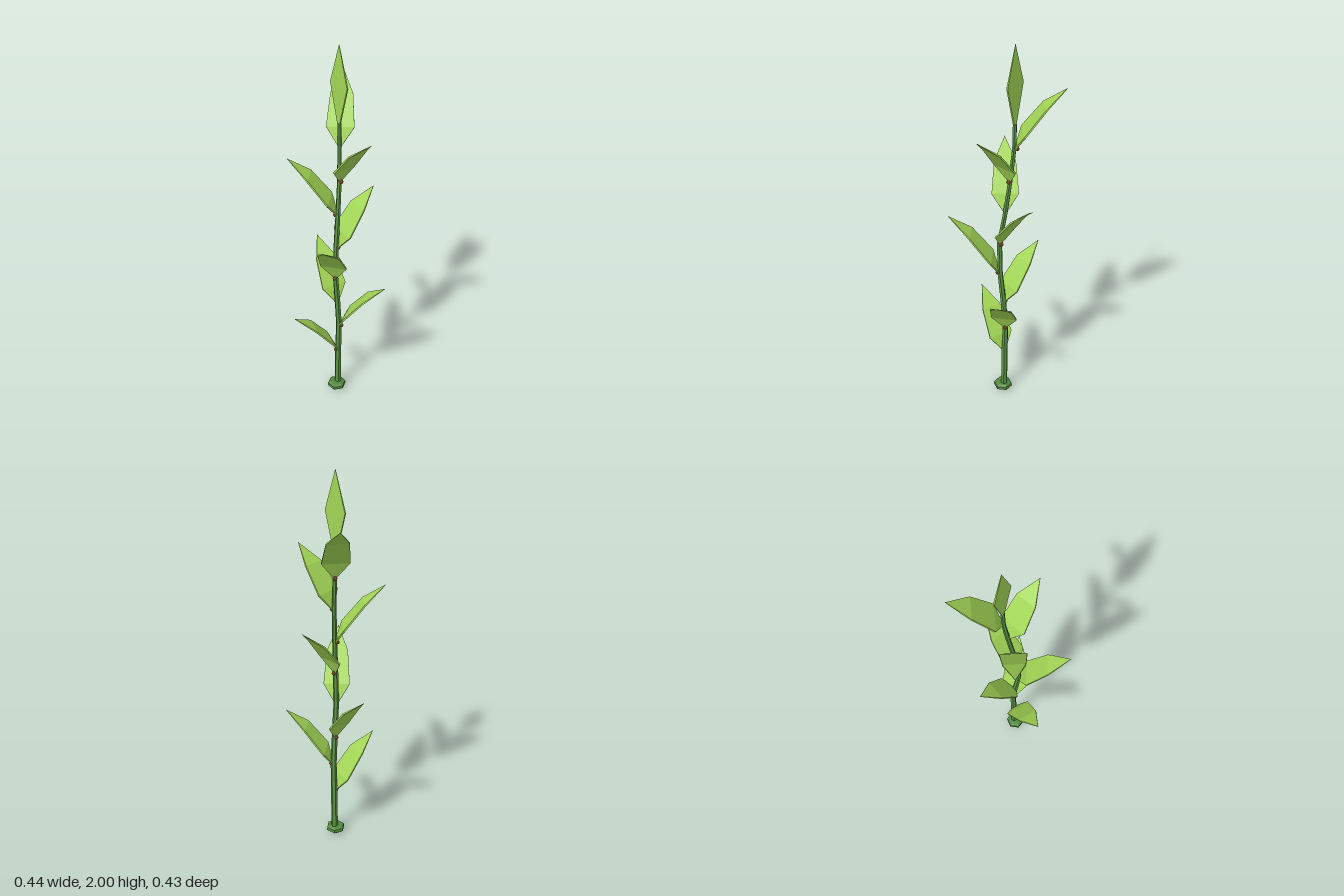
import * as THREE from 'three';

const mat = (name, color) =>
  Object.assign(new THREE.MeshStandardMaterial({ color, flatShading: true }), { name });

// Surface joining rings of equal point count
function loft(rings) {
  const n = rings[0].length, index = [];
  for (let i = 0; i < rings.length - 1; i++)
    for (let j = 0; j < n; j++) {
      const a = i * n + j, b = i * n + (j + 1) % n;
      index.push(a, a + n, b, b, a + n, b + n);
    }
  const geo = new THREE.BufferGeometry();
  geo.setAttribute('position', new THREE.Float32BufferAttribute(rings.flat(2), 3));
  geo.setIndex(index);
  const flat = geo.toNonIndexed();
  flat.computeVertexNormals();
  return flat;
}

// Thin leaf blade: rows of centre, half width and half thickness
function blade(rows, side, normal) {
  return loft(rows.map(([c, w, t]) => [[w, t], [-w, t], [-w, -t], [w, -t]].map(([s, h]) =>
    c.map((v, k) => v + side[k] * s + normal[k] * h))));
}

export function createModel() {
  const group = new THREE.Group();
  const stemGreen = mat('stem green', 0x5a9444);
  const footGreen = mat('foot green', 0x508a3e);
  const leafGreen = mat('leaf green', 0xa1d455);
  const budBrown = mat('bud brown', 0xa8622e);
  const add = (name, geo, material, pos = [0, 0, 0]) => {
    const mesh = new THREE.Mesh(geo, material);
    mesh.name = name;
    mesh.position.set(...pos);
    group.add(mesh);
  };

  // Stem: gently winding, tapering, six-sided
  const path = [
    [0.012, 0.02, 0], [0.015, 0.28, 0], [0.02, 0.45, 0], [0.008, 0.61, 0.002], [-0.01, 0.79, 0.006],
    [-0.01, 0.97, 0.01], [0.015, 1.15, -0.004], [0.035, 1.33, -0.016], [0.047, 1.5, -0.029], [0.048, 1.62, -0.03],
  ];
  const rings = path.map(([x, y, z]) => {
    const r = 0.018 - 0.005 * y;
    return Array.from({ length: 6 }, (_, k) => {
      const a = k * Math.PI / 3;
      return [x + r * Math.cos(a), y, z + r * Math.sin(a)];
    });
  });
  // closing cap at the tip
  rings.push(rings[rings.length - 1].map(() => path[path.length - 1]));
  add('stem', loft(rings), stemGreen);

  // Faceted foot under the stem
  const foot = [[0, 0.004], [0.03, 0.006], [0.05, 0.022], [0.048, 0.038], [0.036, 0.046], [0, 0.048]]
    .map(([r, y]) => new THREE.Vector2(r, y));
  add('foot', new THREE.LatheGeometry(foot, 6), footGreen, [0.004, 0, 0]);

  // Leaves spiral up the stem: one tip for each stem joint, with a small bud
  const tips = [
    [-0.212, 0.565, -0.082], [0.139, 0.75, 0.212], [0.06, 0.9, -0.215], [-0.218, 1.11, 0.151],
    [0.212, 1.25, 0.036], [-0.14, 1.44, -0.187], [0.024, 1.61, 0.205], [0.217, 1.79, -0.191],
  ];
  // outward fraction, upward fraction, half width, half thickness
  const profile = [[0.02, 0, 0.009, 0.004], [0.17, 0.28, 0.066, 0.004], [0.58, 0.71, 0.053, 0.004], [1, 1, 0, 0.001]];
  tips.forEach((tip, i) => {
    const [x, y, z] = path[i + 1];
    const dx = tip[0] - x, dy = tip[1] - y, dz = tip[2] - z, len = Math.hypot(dx, dz);
    const ox = dx / len, oz = dz / len;
    const rows = profile.map(([out, up, w, t]) => [[x + dx * out, y + dy * up, z + dz * out], w, t]);
    add('leaf' + (i + 1), blade(rows, [-oz, 0, ox], [-0.8 * ox, 0.6, -0.8 * oz]), leafGreen);
    add('bud' + (i + 1), new THREE.IcosahedronGeometry(0.012), budBrown, [x + 0.013 * ox, y - 0.003, z + 0.013 * oz]);
  });

  // Upright leaf at the tip
  const topRows = [[1.61, 0.006, 0.004], [1.81, 0.056, 0.004], [2, 0, 0.001]]
    .map(([y, w, t]) => [[0.046, y, -0.032], w, t]);
  add('topLeaf', blade(topRows, [0, 0, -1], [1, 0, 0]), leafGreen);
  return group;
}
